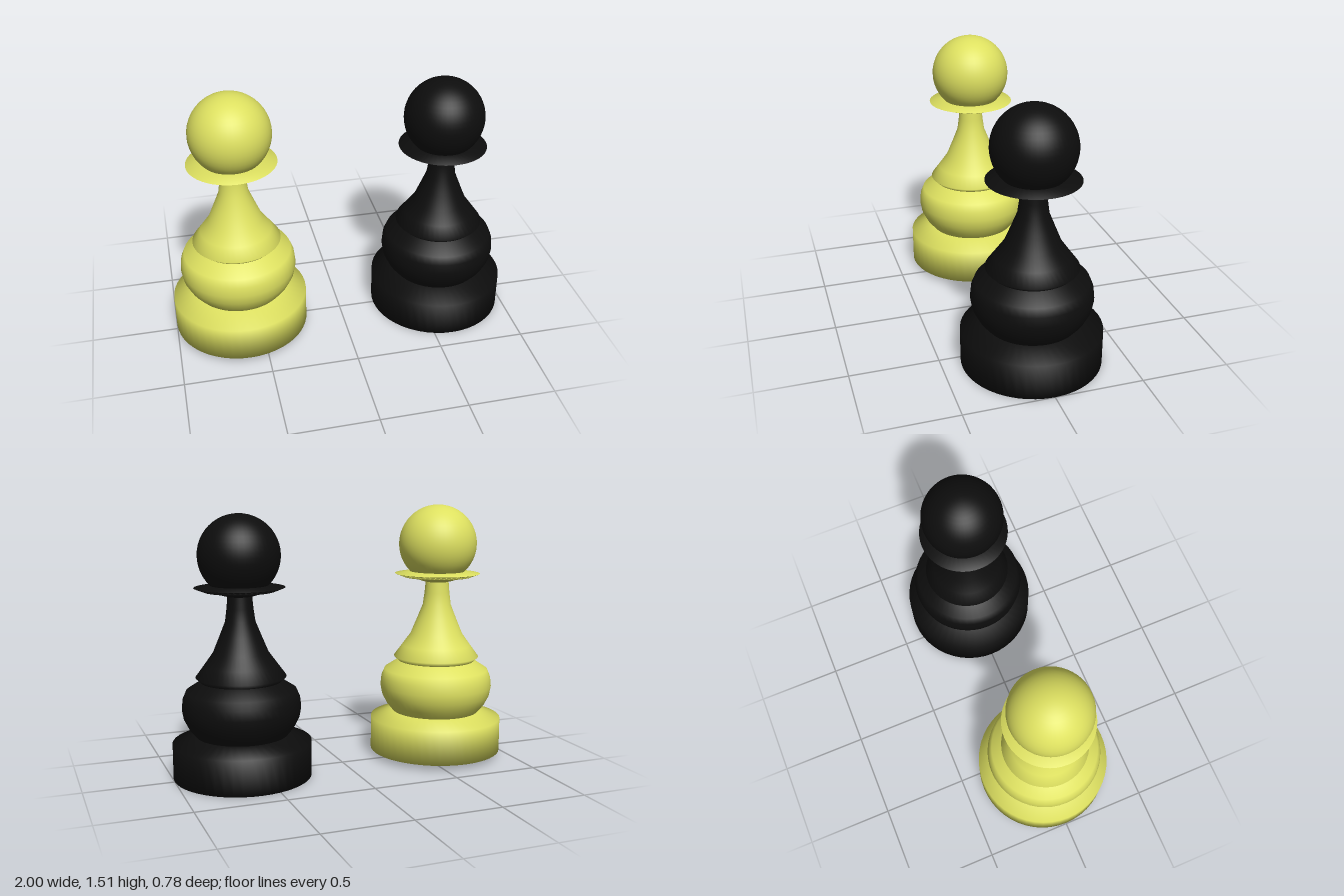
import * as THREE from 'three';

const SEGMENTS = 48;

// Turned surface from [radius, height] pairs, listed bottom to top
function turned(name, points, material) {
  const profile = points.map(([r, y]) => new THREE.Vector2(r, y));
  const mesh = new THREE.Mesh(new THREE.LatheGeometry(profile, SEGMENTS), material);
  mesh.name = name;
  return mesh;
}

function createPawn(name, color) {
  const material = new THREE.MeshStandardMaterial({ color, side: THREE.DoubleSide });
  const pawn = new THREE.Group();
  pawn.name = name;

  // Wide foot with a shallow sloping top
  pawn.add(turned('base', [[0, 0], [0.392, 0], [0.392, 0.2], [0.26, 0.24]], material));

  // Rounded belly above the foot
  pawn.add(turned('belly', [
    [0.26, 0.24], [0.297, 0.285], [0.325, 0.34], [0.335, 0.395],
    [0.329, 0.45], [0.31, 0.495], [0.228, 0.548],
  ], material));

  // Tapering body and neck, overhanging the belly slightly
  pawn.add(turned('body', [
    [0.228, 0.548], [0.254, 0.573], [0.205, 0.64], [0.155, 0.71],
    [0.118, 0.8], [0.084, 0.885], [0.074, 0.96], [0.068, 1.03],
  ], material));

  // Thin sharp-edged collar under the head
  pawn.add(turned('collar', [
    [0.06, 1.022], [0.1, 1.032], [0.14, 1.047], [0.2, 1.053],
    [0.253, 1.074], [0.15, 1.088], [0.06, 1.09],
  ], material));

  // Ball head
  const head = new THREE.Mesh(new THREE.SphereGeometry(0.23, SEGMENTS, 24), material);
  head.name = 'head';
  head.position.y = 1.25;
  pawn.add(head);
  return pawn;
}

export function createModel() {
  const model = new THREE.Group();
  model.name = 'pawnPair';

  const lightPawn = createPawn('lightPawn', 0xdde060);
  lightPawn.position.set(-0.608, 0.032, 0);

  const darkPawn = createPawn('darkPawn', 0x0d0d0d);
  darkPawn.position.set(0.608, 0, 0);

  model.add(lightPawn, darkPawn);
  return model;
}
